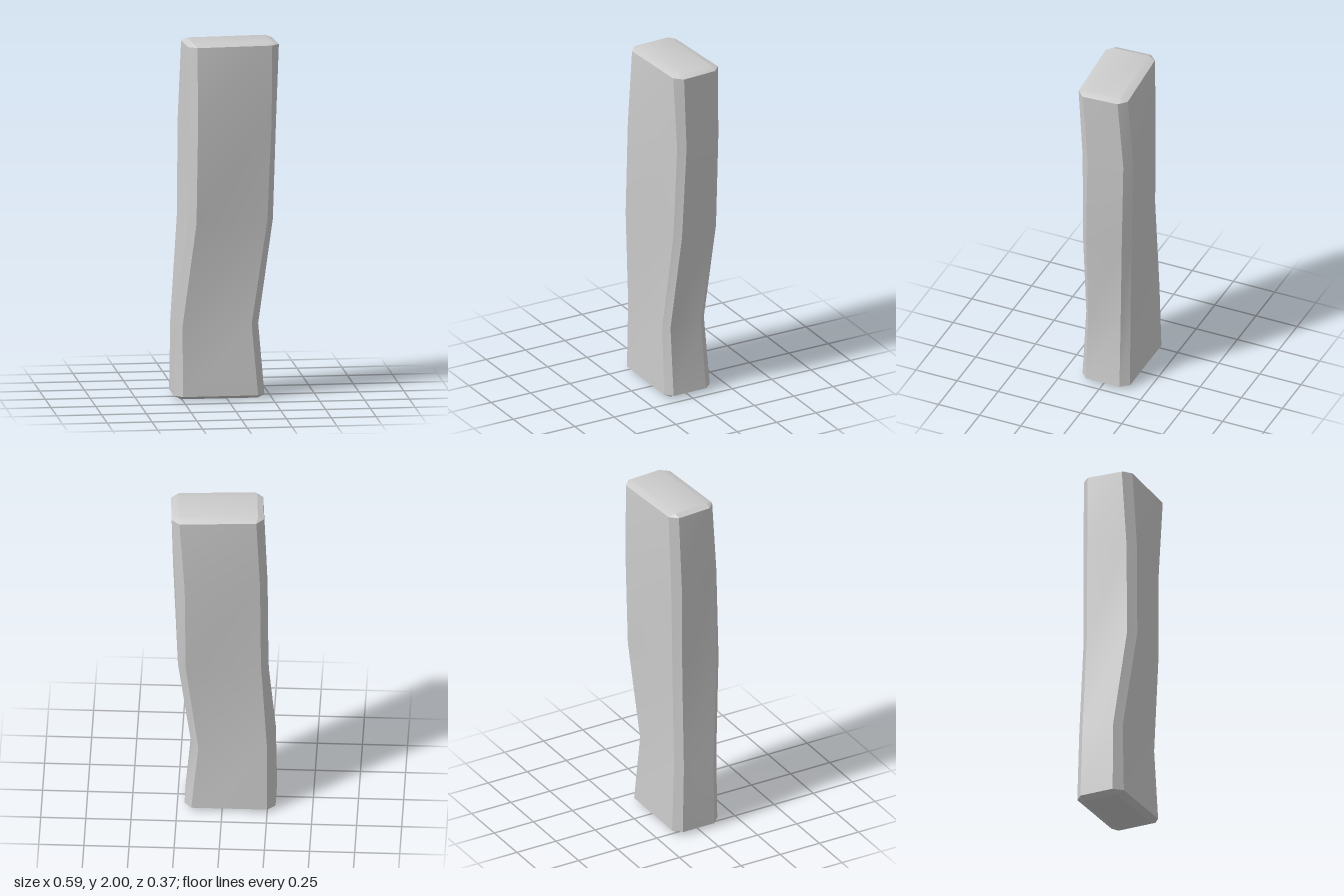
import * as THREE from 'three';
import { toCreasedNormals } from 'three/addons/utils/BufferGeometryUtils.js';

// Octagonal cross-sections [height, ring of x,z], counterclockwise from the front right corner
const sections = [
  [0.02, [0.17, 0.137, 0.21, 0.1, 0.21, -0.105, 0.17, -0.152, -0.25, -0.152, -0.295, -0.11, -0.295, 0.09, -0.25, 0.137]],
  [0.42, [0.135, 0.13, 0.175, 0.1, 0.172, -0.095, 0.132, -0.136, -0.25, -0.14, -0.29, -0.1, -0.288, 0.09, -0.25, 0.13]],
  [1.0, [0.225, 0.11, 0.26, 0.075, 0.245, -0.135, 0.2, -0.175, -0.215, -0.13, -0.255, -0.09, -0.225, 0.145, -0.18, 0.185]],
  [1.55, [0.25, 0.1, 0.28, 0.057, 0.257, -0.15, 0.205, -0.187, -0.21, -0.135, -0.25, -0.09, -0.215, 0.135, -0.17, 0.177]],
  [1.985, [0.25, 0.125, 0.293, 0.08, 0.28, -0.125, 0.235, -0.167, -0.19, -0.14, -0.23, -0.097, -0.218, 0.108, -0.17, 0.15]],
];
// Four-cornered end faces inside the bevels
const bottomCap = [0.17, 0.097, 0.17, -0.11, -0.255, -0.11, -0.255, 0.095];
const topCap = [0.253, 0.08, 0.243, -0.125, -0.197, -0.1, -0.185, 0.107];

const ring = (y, c) => Array.from({ length: c.length / 2 }, (_, i) => new THREE.Vector3(c[2 * i], y, c[2 * i + 1]));
// Double each cap corner so it meets both points of a chamfer
const capRing = (y, c) => ring(y, c).flatMap((p) => [p, p]);

function plankGeometry() {
  const rings = [capRing(0, bottomCap), ...sections.map(([y, c]) => ring(y, c)), capRing(2, topCap)];
  const pos = [];
  const tri = (a, b, c) => {
    if (a === b || b === c || a === c) return;
    for (const p of [a, b, c]) pos.push(p.x, p.y, p.z);
  };
  // Sides and end bevels
  for (let k = 0; k < rings.length - 1; k++) {
    const lo = rings[k], hi = rings[k + 1];
    for (let i = 0; i < 8; i++) {
      const j = (i + 1) % 8;
      tri(lo[i], lo[j], hi[j]);
      tri(lo[i], hi[j], hi[i]);
    }
  }
  // End faces
  const b = rings[0], t = rings[rings.length - 1];
  for (const [i, j] of [[2, 4], [4, 6]]) {
    tri(b[0], b[j], b[i]);
    tri(t[0], t[i], t[j]);
  }
  const geo = new THREE.BufferGeometry();
  geo.setAttribute('position', new THREE.Float32BufferAttribute(pos, 3));
  return toCreasedNormals(geo, 0.4);
}

export function createModel() {
  const group = new THREE.Group();
  group.name = 'warpedPlank';
  const plank = new THREE.Mesh(plankGeometry(), new THREE.MeshStandardMaterial({ color: 0xcccccc }));
  plank.name = 'plank';
  group.add(plank);
  return group;
}
